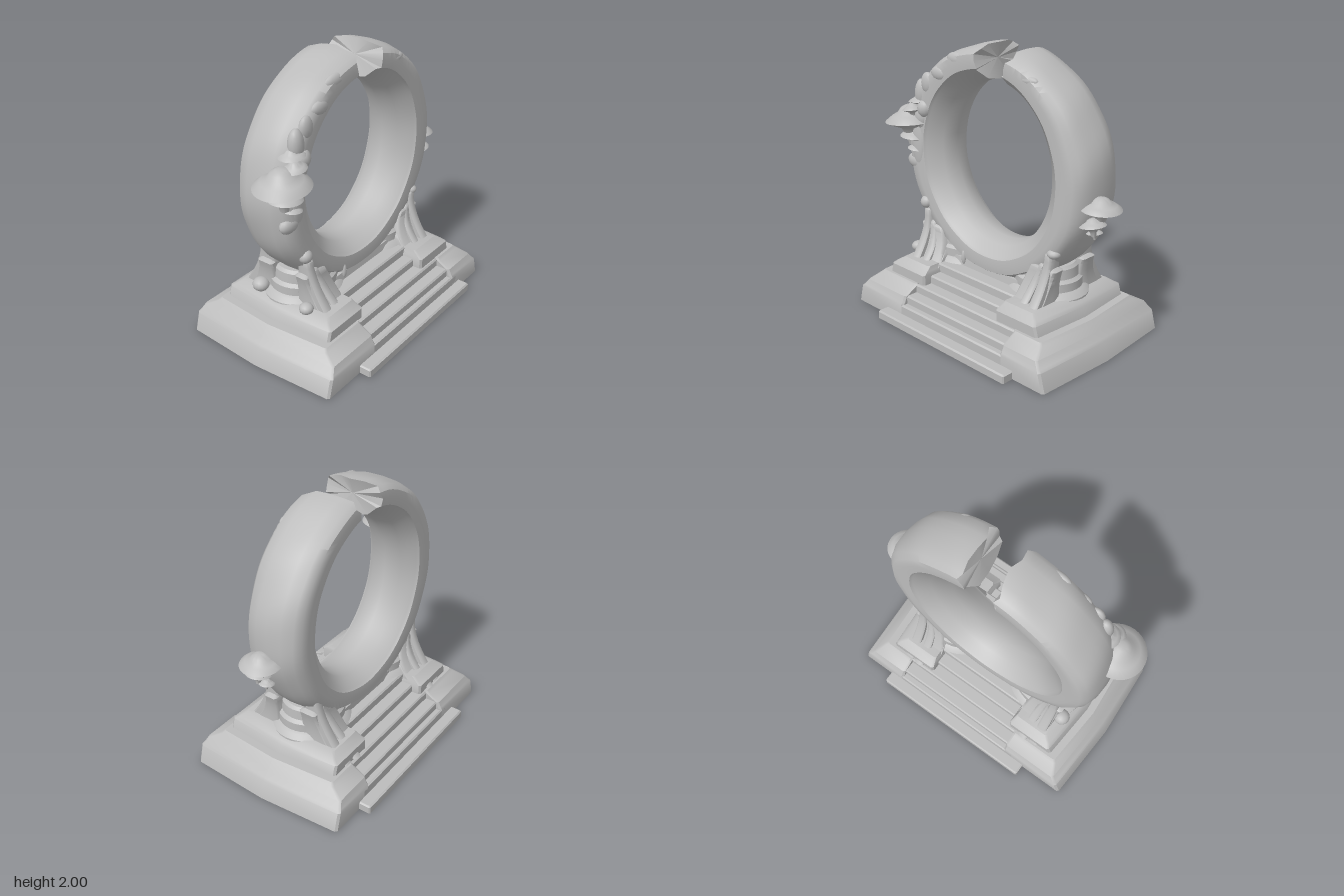
import * as THREE from 'three';
import { toCreasedNormals } from 'three/addons/utils/BufferGeometryUtils.js';

const stone = new THREE.MeshStandardMaterial({ color: 0xbcbcbc });
stone.name = 'grey stone';

// Skin a stack of closed cross-sections, cap both ends, and face it outwards.
function loft(rows, crease = 0.6) {
  const n = rows[0].length, pos = rows.flat(2), idx = [];
  for (let i = 0; i < rows.length - 1; i++)
    for (let j = 0; j < n; j++) {
      const a = i * n + j, b = i * n + (j + 1) % n;
      idx.push(a, b, a + n, b, b + n, a + n);
    }
  [0, rows.length - 1].forEach((r, end) => {
    const c = pos.length / 3;
    for (let k = 0; k < 3; k++) pos.push(rows[r].reduce((s, p) => s + p[k], 0) / n);
    for (let j = 0; j < n; j++) {
      const a = r * n + j, b = r * n + (j + 1) % n;
      if (end) idx.push(a, b, c); else idx.push(b, a, c);
    }
  });
  const v = (i) => new THREE.Vector3().fromArray(pos, i * 3);
  let volume = 0;
  for (let i = 0; i < idx.length; i += 3) volume += v(idx[i]).dot(v(idx[i + 1]).cross(v(idx[i + 2])));
  if (volume < 0) idx.reverse();
  const g = new THREE.BufferGeometry();
  g.setAttribute('position', new THREE.Float32BufferAttribute(pos, 3));
  g.setIndex(idx);
  return toCreasedNormals(g, crease);
}

// Plan outline of a slab, with bevelled corners and slightly bowed ends.
function slab(y, x0, x1, z0, z1, bevel = 0.01, bow0 = 0, bow1 = 0) {
  const zm = (z0 + z1) / 2, b = bevel;
  return [[x0 + b, y, z1], [x1 - b, y, z1], [x1, y, z1 - b], [x1 + bow1, y, zm], [x1, y, z0 + b],
    [x1 - b, y, z0], [x0 + b, y, z0], [x0, y, z0 + b], [x0 - bow0, y, zm], [x0, y, z1 - b]];
}

export function createModel() {
  const model = new THREE.Group();
  model.name = 'ruinedStoneGate';
  const add = (name, geometry, parent = model) => {
    const m = new THREE.Mesh(geometry, stone);
    m.name = name;
    parent.add(m);
    return m;
  };

  // Broken ring: an oval sweep with flared inner faces and a gap at the top
  const front = [[1, -0.02], [0.98, 0.07], [0.9, 0.15], [0.78, 0.185], [0.6, 0.19], [0.39, 0.185], [0.35, 0.165], [0.08, 0.09]];
  const section = [...front, [0, -0.025], ...front.slice(1).reverse().map(([t, z]) => [t, -0.05 - z])];
  const ringRows = [];
  const steps = 96;
  for (let i = 0; i <= steps; i++) {
    const u = i / steps;
    ringRows.push(section.map(([t, z], k) => {
      const rough = 0.025 * Math.sin(k * 2.3);
      const start = 1.67 - 0.05 * t + 0.3 * Math.abs(z) + rough;
      const end = 1.37 - 0.02 * t - 0.25 * Math.max(0, z) + rough;
      const a = start + (end + Math.PI * 2 - start) * u;
      const wear = 0.006 * t * Math.sin(a * 9 + z * 8) * Math.sin(a * 4);
      const rx = 0.495 + 0.355 * t + wear, ry = 0.57 + 0.25 * t + wear;
      return [rx * Math.cos(a) + 0.006, 1.18 + ry * Math.sin(a), z];
    }));
  }
  add('brokenRing', loft(ringRows, 0.7));

  // Stairs climbing to the ring from front and back: [x0, x1, bottom, top, half depth]
  [[-0.6, 0.67, 0, 0.06, 0.69], [-0.5, 0.62, 0.05, 0.13, 0.605], [-0.5, 0.62, 0.12, 0.19, 0.56],
    [-0.5, 0.62, 0.18, 0.25, 0.47], [-0.42, 0.42, 0.24, 0.31, 0.38], [-0.42, 0.42, 0.3, 0.375, 0.29]]
    .forEach(([x0, x1, y0, y1, d], i) => add('step' + (i + 1), loft([
      slab(y0, x0, x1, -d, d), slab(y1 - 0.01, x0, x1, -d, d), slab(y1, x0 + 0.01, x1 - 0.01, 0.01 - d, d - 0.01)])));

  // Low plinth filling the middle between the stairs
  add('threshold', loft([slab(0.3, -0.5, 0.5, -0.22, 0.2), slab(0.43, -0.46, 0.46, -0.22, 0.18)]));

  for (const s of [1, -1]) {
    const side = new THREE.Group();
    side.name = s > 0 ? 'leftSide' : 'rightSide';
    model.add(side);
    const inner = s > 0 ? 0.55 : 0.42;
    const tier = (y, xi, xo, d, bow = 0.035) => (s > 0
      ? slab(y, xi, xo, -d, d, 0.015, 0, bow) : slab(y, -xo, -xi, -d, d, 0.015, bow, 0));

    // Stepped corner blocks
    add('lowerBlock', loft([tier(0, inner, 0.935, 0.605), tier(0.13, inner, 0.9, 0.605), tier(0.145, inner, 0.885, 0.595),
      tier(0.19, inner, 0.85, 0.575), tier(0.235, inner, 0.81, 0.49), tier(0.255, inner, 0.79, 0.47)]));
    add('upperBlock', loft([tier(0.24, 0.36, 0.74, 0.45), tier(0.325, 0.36, 0.715, 0.45), tier(0.345, 0.37, 0.695, 0.42),
      tier(0.375, 0.38, 0.65, 0.38)]));

    // Round moulded collar cradling the ring
    const collar = new THREE.LatheGeometry([[0, 0.3], [0.3, 0.3], [0.3, 0.37], [0.27, 0.4], [0.25, 0.41], [0.25, 0.47],
      [0.225, 0.49], [0.22, 0.56], [0.2, 0.58], [0, 0.58]].map((p) => new THREE.Vector2(...p)), 36);
    collar.scale(1, 1, 0.9).translate(s * 0.41, 0, -0.025);
    add('collar', toCreasedNormals(collar, 0.6), side);

    // Swept buttress fins against both faces of the ring
    for (const f of [1, -1]) {
      const face = f > 0 ? 0 : 0.03;
      const fin = (x, w, top, reach, lean) => {
        const rows = [];
        for (let i = 0; i <= 10; i++) {
          const u = i / 10, y = 0.26 + (top - 0.26) * u;
          const z = 0.2 + face + (reach - 0.2) * Math.pow(1 - u, 1.8);
          const cx = x + lean * u * u * u, hw = w / 2 * (1 - 0.2 * u);
          const zs = [f * 0.1, f * z].sort((a, b) => a - b);
          rows.push(slab(y, s * cx - hw, s * cx + hw, ...zs, 0.014));
        }
        const last = rows[rows.length - 1];
        const mid = last.reduce((m, p) => [m[0] + p[0] / 10, 0, m[2] + p[2] / 10], [0, 0, 0]);
        rows.push(last.map((p) => [mid[0] + (p[0] - mid[0]) * 0.6, p[1] + 0.02, mid[2] + (p[2] - mid[2]) * 0.6]));
        return loft(rows, 0.8);
      };
      add('buttressWeb', fin(0.5, 0.27, 0.6, 0.38, 0.05), side);
      add('innerFin', fin(0.4, 0.075, 0.53, 0.42, 0.06), side);
      add('middleFin', fin(0.49, 0.07, 0.62, 0.445, 0.05), side);
      add('outerFin', fin(0.585, 0.08, 0.71, 0.43, 0.01), side);
    }
  }

  // Bracket mushrooms: flared cap on a funnel stem, [x, y, z, radius, height]
  const mushroom = (x, y, z, r, h, tilt) => {
    const profile = [[0, -1.5], [0.16, -1.45], [0.24, -0.9], [0.42, -0.4], [0.9, -0.08], [1, 0], [0.97, 0.08], [0.72, 0.38],
      [0.5, 0.56], [0.36, 0.85], [0.18, 0.99], [0, 1]].map(([a, b]) => new THREE.Vector2(a * r, b * h));
    const m = add('mushroom', toCreasedNormals(new THREE.LatheGeometry(profile, 32), 0.9));
    m.position.set(x, y, z);
    m.rotation.z = tilt;
  };
  [[-0.795, 1.345, 0.15, 0.19, 0.12, 0.08], [-0.69, 1.51, 0.14, 0.09, 0.05, 0.1], [-0.76, 1.235, 0.14, 0.115, 0.06, -0.05],
    [-0.725, 1.15, 0.16, 0.07, 0.035, -0.1], [-0.72, 1.45, 0.19, 0.08, 0.05, 0.15],
    [0.875, 1.065, 0.015, 0.14, 0.075, -0.06], [0.85, 0.955, 0.06, 0.09, 0.05, 0.15], [0.83, 0.885, 0.015, 0.055, 0.03, 0.1]]
    .forEach((p) => mushroom(...p));

  // Knobs and weathered crust on the ring and its foot: [x, y, z, sx, sy, sz]
  [[-0.62, 1.47, 0.16, 0.06, 0.07, 0.06], [-0.66, 1.4, 0.15, 0.07, 0.1, 0.06], [-0.66, 1.57, 0.15, 0.06, 0.11, 0.05],
    [-0.58, 1.66, 0.165, 0.06, 0.08, 0.035], [-0.45, 1.75, 0.17, 0.08, 0.05, 0.03], [-0.28, 1.87, 0.155, 0.1, 0.05, 0.035],
    [-0.69, 1.2, 0.17, 0.07, 0.2, 0.03], [-0.74, 1.05, 0.15, 0.09, 0.06, 0.045], [-0.62, 0.76, 0.17, 0.05, 0.05, 0.05],
    [0.37, 1.83, 0.155, 0.09, 0.035, 0.035], [0.62, 0.72, 0.16, 0.05, 0.035, 0.05], [-0.22, 0.44, 0.18, 0.02, 0.06, 0.02],
    [-0.66, 0.41, -0.2, 0.06, 0.05, 0.06], [-0.68, 0.4, 0.22, 0.05, 0.04, 0.05]]
    .forEach(([x, y, z, ...size]) => {
      const lump = add('crust', new THREE.SphereGeometry(1, 14, 10).scale(...size));
      lump.position.set(x, y, z);
    });

  return model;
}
